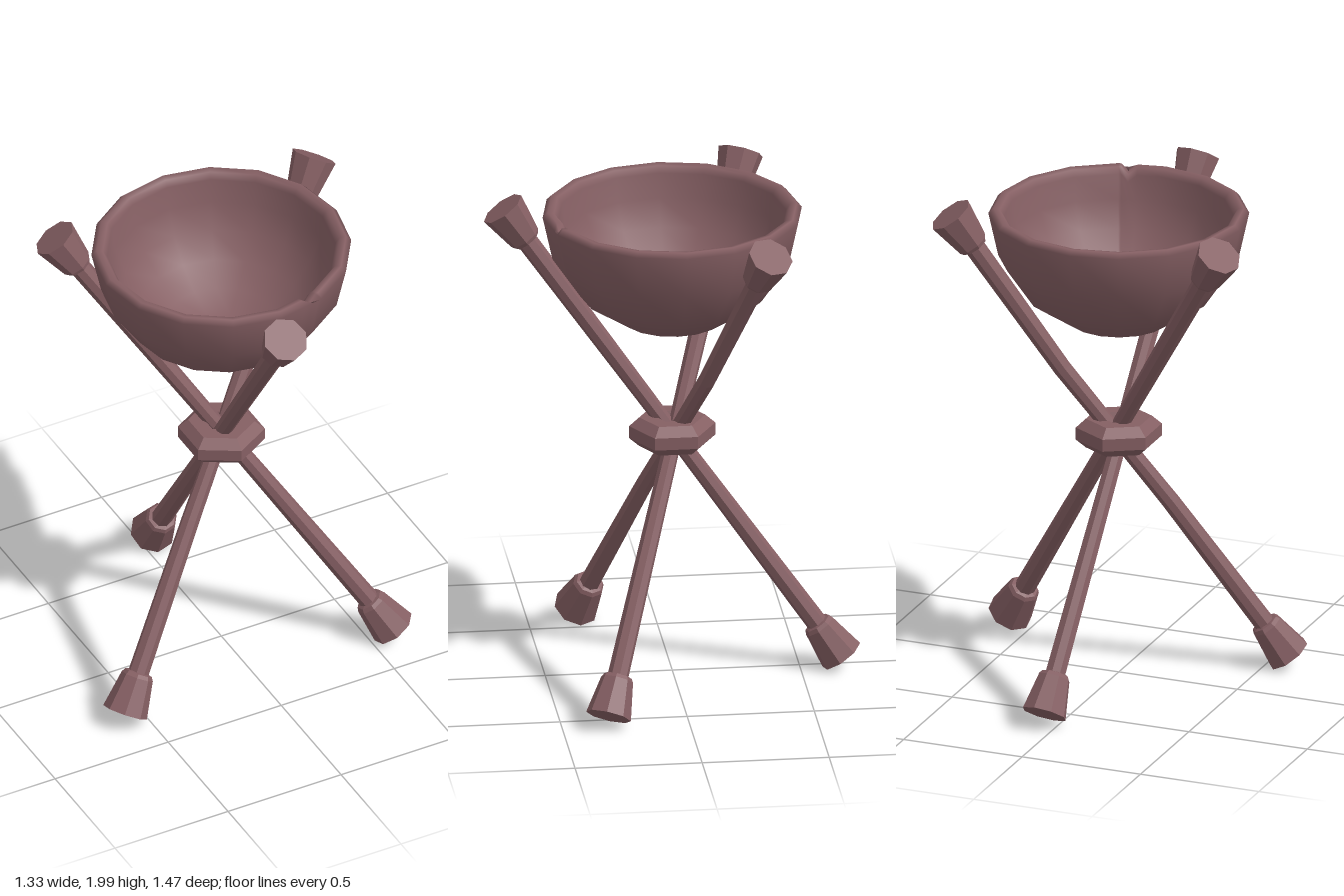
import * as THREE from 'three';
import { mergeVertices } from 'three/addons/utils/BufferGeometryUtils.js';

const V = (x, y, z) => new THREE.Vector3(x, y, z);

// Faceted copy of a geometry
function faceted(geo) {
  const g = geo.index ? geo.toNonIndexed() : geo;
  g.computeVertexNormals();
  return g;
}

export function createModel() {
  const wood = new THREE.MeshStandardMaterial({ color: 0x855f63 });
  wood.name = 'dusky brown';
  const model = new THREE.Group();
  model.name = 'bowlOnTripod';
  const add = (name, geo, parent = model) => {
    const mesh = new THREE.Mesh(geo, wood);
    mesh.name = name;
    parent.add(mesh);
    return mesh;
  };

  // Bowl: round-bottomed shell with a soft rim
  const profile = [];
  for (let i = 0; i <= 4; i++) {
    const a = (i / 4) * Math.PI / 2;
    profile.push(new THREE.Vector2(0.51 * Math.sin(a), 1.94 - 0.5 * Math.cos(a)));
  }
  profile[4].y = 1.925;
  profile.push(new THREE.Vector2(0.49, 1.945), new THREE.Vector2(0.465, 1.94), new THREE.Vector2(0.448, 1.915));
  for (let i = 5; i >= 0; i--) {
    const a = (i / 6) * Math.PI / 2;
    profile.push(new THREE.Vector2(0.45 * Math.sin(a), 1.93 - 0.44 * Math.cos(a)));
  }
  // Sixteen sides, with three extra columns for the nick in the rim
  const angles = [0, 13, 17.5, 21];
  for (let i = 1; i <= 16; i++) angles.push(i * 22.5);
  const bowl = new THREE.LatheGeometry(profile, angles.length - 1);
  const p = bowl.attributes.position;
  const rad = Math.PI / 180;
  angles.forEach((deg, col) => {
    const k = Math.cos(11.25 * rad) / Math.cos(((deg % 22.5) - 11.25) * rad);
    profile.forEach((pt, row) => {
      const nick = col === 2 && row >= 5 && row <= 7 ? 0.03 : 0;
      const a = (deg % 360) * rad;
      p.setXYZ(col * profile.length + row, pt.x * k * Math.sin(a), pt.y - nick, pt.x * k * Math.cos(a));
    });
  });
  bowl.deleteAttribute('normal');
  bowl.deleteAttribute('uv');
  const bowlGeo = mergeVertices(bowl, 1e-5);
  bowlGeo.computeVertexNormals();
  add('bowl', bowlGeo);

  // Six-sided binding ring where the legs cross
  const ring = [[0.04, 1.01], [0.065, 0.95], [0.13, 0.95], [0.17, 0.985], [0.17, 1.035], [0.13, 1.07], [0.065, 1.07], [0.04, 1.01]]
    .map(([x, y]) => new THREE.Vector2(x, y));
  add('bindingRing', faceted(new THREE.LatheGeometry(ring, 6)));

  // Flared end cap, built along +y with its wide end at the origin
  const capProfile = [[0.035, -0.17], [0.055, -0.165], [0.064, -0.15], [0.09, 0], [0, 0]]
    .map(([x, y]) => new THREE.Vector2(x, y));

  // Crossing legs: bottom end, top end, outward bow of the rod
  const legs = [
    ['frontTopLeg', V(0.045, 0.055, -0.66), V(-0.065, 1.945, 0.66), V(0, 0, 0)],
    ['rightTopLeg', V(0.59, 0.053, 0.32), V(-0.56, 1.947, -0.335), V(0, 0, 0)],
    ['leftTopLeg', V(-0.59, 0.053, 0.31), V(0.58, 1.947, -0.32), V(0.02, 0, -0.012)],
  ];
  for (const [name, bottom, top, bow] of legs) {
    const leg = new THREE.Group();
    leg.name = name;
    model.add(leg);
    const axis = top.clone().sub(bottom);
    const length = axis.length() - 0.2;
    axis.normalize();
    const up = new THREE.Quaternion().setFromUnitVectors(V(0, 1, 0), axis);
    const down = new THREE.Quaternion().setFromUnitVectors(V(0, 1, 0), axis.clone().negate());

    // Rod: slimmer in the middle, bowed in its upper half
    const rod = new THREE.CylinderGeometry(1, 1, length, 8, 6, true);
    const pos = rod.attributes.position;
    const mid = bottom.clone().add(top).multiplyScalar(0.5);
    const v = V(0, 0, 0);
    for (let i = 0; i < pos.count; i++) {
      v.fromBufferAttribute(pos, i);
      const t = v.y / length;
      const r = 0.033 + 0.009 * Math.abs(2 * t);
      v.x *= r;
      v.z *= r;
      v.applyQuaternion(up).add(mid);
      v.addScaledVector(bow, Math.max(0, 1 - Math.abs(t - 1 / 6) * 3));
      pos.setXYZ(i, v.x, v.y, v.z);
    }
    add('rod', faceted(rod), leg);

    for (const [capName, end, turn] of [['topCap', top, up], ['footCap', bottom, down]]) {
      const cap = add(capName, faceted(new THREE.LatheGeometry(capProfile, 8)), leg);
      cap.position.copy(end);
      cap.quaternion.copy(turn);
    }
  }
  return model;
}
